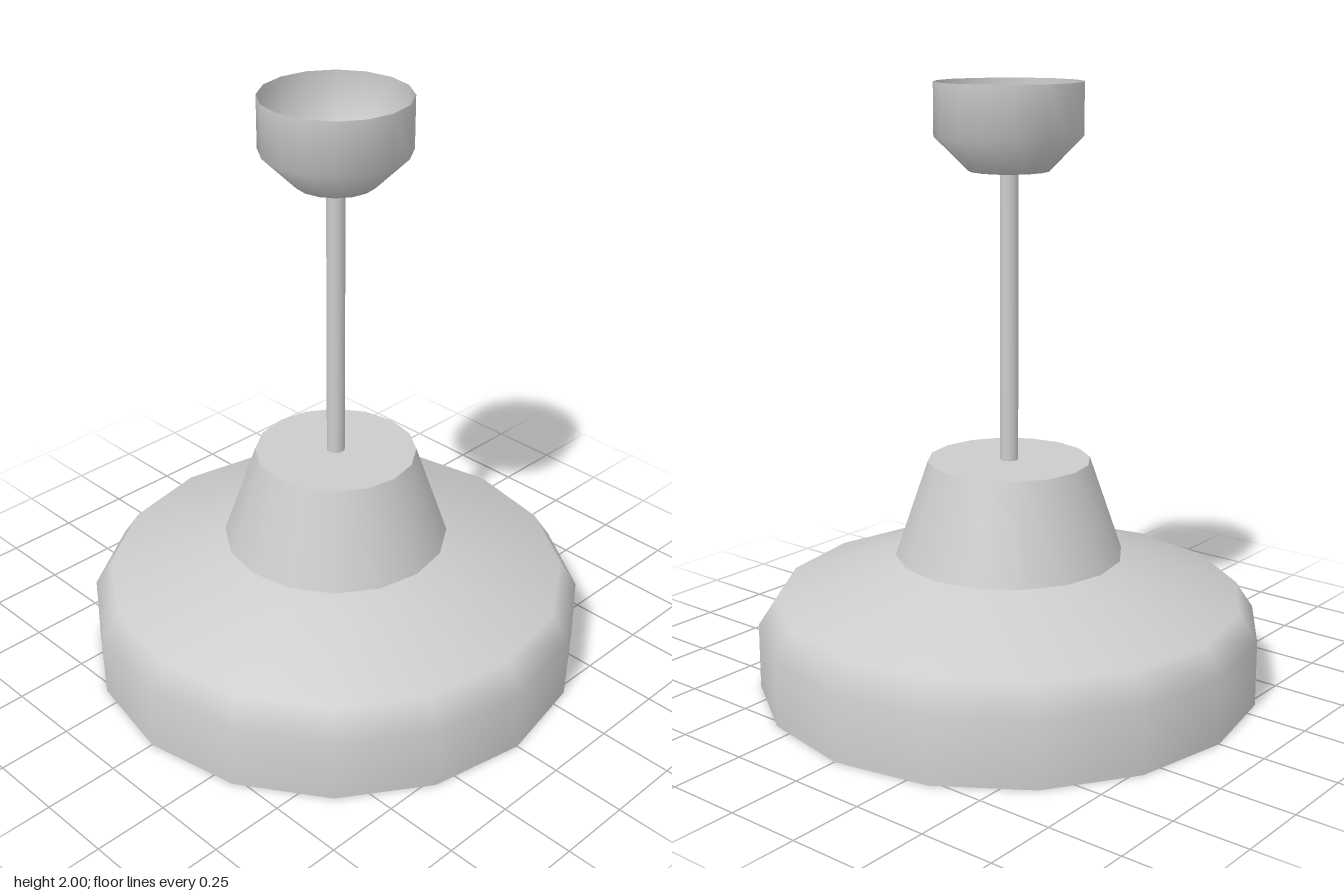
import * as THREE from 'three';

const SIDES = 16;

export function createModel() {
  const group = new THREE.Group();
  const solid = new THREE.MeshStandardMaterial({ color: 0xcccccc });
  const thin = new THREE.MeshStandardMaterial({ color: 0xcccccc, side: THREE.DoubleSide });

  // Revolve a [radius, height] profile; rising profiles face outward
  const lathe = (parent, name, profile, material = solid) => {
    const points = profile.map(([r, y]) => new THREE.Vector2(r, y));
    const mesh = new THREE.Mesh(new THREE.LatheGeometry(points, SIDES), material);
    mesh.name = name;
    parent.add(mesh);
  };

  // Shade: smooth outer skin, thin rim and inner skin
  const shade = new THREE.Group();
  shade.name = 'shade';
  lathe(shade, 'shadeOuter', [[0.84, 0], [0.84, 0.22], [0.78, 0.31], [0.38, 0.45]]);
  lathe(shade, 'shadeRim', [[0.82, 0], [0.84, 0]]);
  lathe(shade, 'shadeInner', [[0.30, 0.45], [0.765, 0.285], [0.82, 0.21], [0.82, 0]]);
  group.add(shade);

  // Neck: tapered collar with a closed top, hollow underneath
  const neck = new THREE.Group();
  neck.name = 'neck';
  lathe(neck, 'neckOuter', [[0.38, 0.45], [0.27, 0.77]]);
  lathe(neck, 'neckTop', [[0.27, 0.77], [0, 0.77]]);
  lathe(neck, 'neckInner', [[0.20, 0.74], [0.30, 0.45]]);
  lathe(neck, 'neckCeiling', [[0, 0.74], [0.20, 0.74]]);
  group.add(neck);

  // Hanging rod
  const rod = new THREE.Mesh(new THREE.CylinderGeometry(0.03, 0.03, 0.97, SIDES), solid);
  rod.name = 'rod';
  rod.position.y = 1.245;
  group.add(rod);

  // Ceiling cup, open at the top
  lathe(group, 'ceilingCup', [[0, 1.72], [0.13, 1.72], [0.24, 1.83], [0.24, 2]], thin);

  return group;
}
